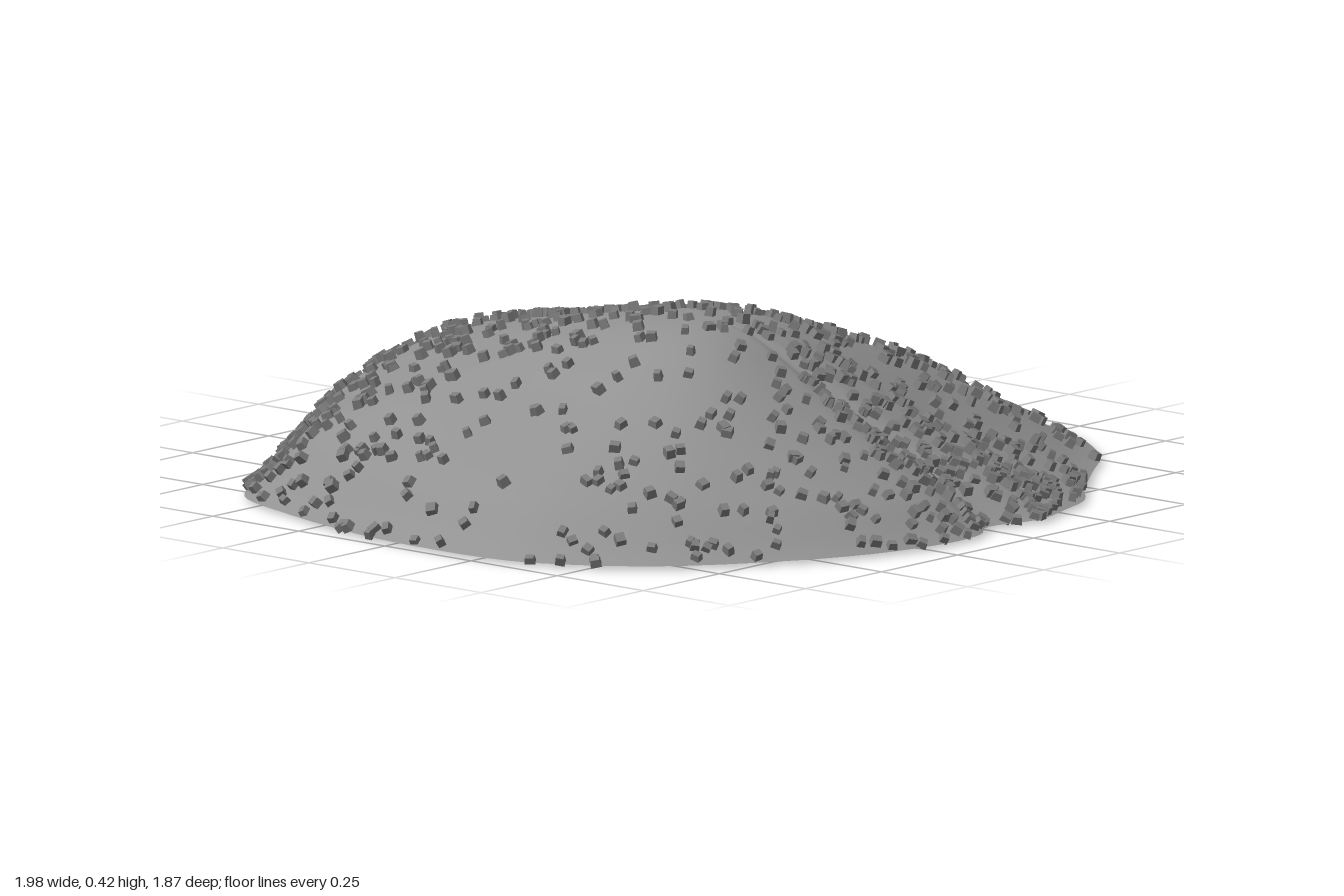
import * as THREE from 'three';
import { mergeGeometries } from 'three/addons/utils/BufferGeometryUtils.js';

const BASE = 0.015, HEIGHT = 0.395;
const PEAK = new THREE.Vector2(-0.15, 0.17);

// Ground outline (x, z), counter-clockwise from above
const RIM = new THREE.CatmullRomCurve3([
  [0, 0.87], [0.13, 0.9], [0.25, 0.87], [0.36, 0.83], [0.45, 0.75], [0.6, 0.64], [0.75, 0.53],
  [0.88, 0.35], [0.96, 0.12], [0.985, -0.05], [0.95, -0.2], [0.88, -0.4], [0.8, -0.56],
  [0.7, -0.7], [0.6, -0.77], [0.45, -0.8], [0.34, -0.83], [0.2, -0.9], [0, -0.94],
  [-0.2, -0.9], [-0.4, -0.83], [-0.6, -0.71], [-0.75, -0.62], [-0.84, -0.54], [-0.9, -0.38],
  [-0.95, -0.2], [-0.985, 0], [-0.985, 0.28], [-0.93, 0.45], [-0.8, 0.63], [-0.6, 0.78],
  [-0.4, 0.88], [-0.2, 0.925], [-0.08, 0.915],
].map(([x, z]) => new THREE.Vector3(x, 0, z)), true, 'catmullrom', 0.5);

// Slope profiles from peak to rim, one per 45 degrees starting at +x and turning to +z
const STEPS = [0, 0.15, 0.3, 0.5, 0.7, 0.85, 1];
const SLOPES = [
  [1, 0.95, 0.82, 0.63, 0.42, 0.22, 0],
  [1, 0.94, 0.79, 0.54, 0.28, 0.12, 0],
  [1, 0.95, 0.80, 0.57, 0.36, 0.20, 0],
  [1, 0.97, 0.87, 0.66, 0.43, 0.23, 0],
  [1, 0.97, 0.86, 0.65, 0.46, 0.30, 0],
  [1, 0.97, 0.88, 0.72, 0.54, 0.35, 0],
  [1, 0.97, 0.90, 0.79, 0.66, 0.42, 0],
  [1, 0.96, 0.84, 0.69, 0.56, 0.38, 0],
].map((row) => new THREE.SplineCurve(row.map((h, i) => new THREE.Vector2(STEPS[i], h))));

// Height of profile k at distance t, with t spread over the uneven steps
function slopeHeight(k, t) {
  let i = 0;
  while (i < STEPS.length - 2 && t > STEPS[i + 1]) i++;
  const f = (t - STEPS[i]) / (STEPS[i + 1] - STEPS[i]);
  return SLOPES[(k + 8) % 8].getPoint((i + f) / (STEPS.length - 1)).y;
}

// Point on the mound: u runs round the rim, t from the peak outwards
function surfacePoint(u, t) {
  const rim = RIM.getPoint(((u % 1) + 1) % 1);
  const angle = Math.atan2(rim.z - PEAK.y, rim.x - PEAK.x);
  const a = (angle / (Math.PI / 4) + 8) % 8;
  const k = Math.floor(a), f = a - k;
  // Smooth cubic blend between neighbouring profiles
  const [h0, h1, h2, h3] = [-1, 0, 1, 2].map((d) => slopeHeight(k + d, t));
  const h = h1 + 0.5 * f * (h2 - h0 + f * (2 * h0 - 5 * h1 + 4 * h2 - h3
    + f * (3 * (h1 - h2) + h3 - h0)));
  return new THREE.Vector3(
    THREE.MathUtils.lerp(PEAK.x, rim.x, t),
    BASE + HEIGHT * h,
    THREE.MathUtils.lerp(PEAK.y, rim.z, t));
}

// Open shell built from rings around the peak
function moundGeometry(segments, rings) {
  const pos = [...surfacePoint(0, 0).toArray()], index = [];
  for (let r = 1; r <= rings; r++) {
    for (let s = 0; s < segments; s++) pos.push(...surfacePoint(s / segments, r / rings).toArray());
  }
  const id = (r, s) => (r === 0 ? 0 : 1 + (r - 1) * segments + (s % segments));
  for (let r = 0; r < rings; r++) {
    for (let s = 0; s < segments; s++) {
      index.push(id(r, s), id(r + 1, s), id(r + 1, s + 1));
      if (r > 0) index.push(id(r, s), id(r + 1, s + 1), id(r, s + 1));
    }
  }
  const geo = new THREE.BufferGeometry();
  geo.setAttribute('position', new THREE.Float32BufferAttribute(pos, 3));
  geo.setIndex(index);
  geo.computeVertexNormals();
  return geo;
}

function seededRandom(seed) {
  return () => {
    seed = (seed * 1664525 + 1013904223) % 4294967296;
    return seed / 4294967296;
  };
}

// Small chunky stones resting on the slope, denser at the back and down the front middle
function pebbleGeometry(count) {
  const rand = seededRandom(7), stones = [];
  const size = () => 0.016 + rand() * 0.009;
  const up = new THREE.Vector3(0, 1, 0), turn = new THREE.Quaternion();
  while (stones.length < count) {
    const u = rand(), t = Math.sqrt(rand());
    const p = surfacePoint(u, t);
    const density = 0.3 + 0.6 * Math.max(0, -p.z) + 0.3 * Math.exp(-(((p.x - 0.15) / 0.3) ** 2));
    if (rand() > density) continue;
    // Surface normal from two neighbouring points
    const along = surfacePoint(u + 0.002, t).sub(p);
    const inward = surfacePoint(u, t * 0.98).sub(p);
    const normal = along.cross(inward).normalize();

    const height = size() * 0.9;
    const stone = new THREE.BoxGeometry(size(), height, size());
    // Pinch the top so that the stones are not perfect boxes
    const v = stone.attributes.position, pinch = 0.75 + rand() * 0.2;
    for (let i = 0; i < v.count; i++) {
      if (v.getY(i) > 0) v.setXYZ(i, v.getX(i) * pinch, v.getY(i), v.getZ(i) * pinch);
    }
    stone.rotateY(rand() * Math.PI * 2);
    stone.rotateX((rand() - 0.5) * 0.4);
    stone.applyQuaternion(turn.setFromUnitVectors(up, normal));
    p.addScaledVector(normal, height * 0.45);
    stone.translate(p.x, Math.max(p.y, 0.016), p.z);
    stones.push(stone);
  }
  const merged = mergeGeometries(stones).toNonIndexed();
  merged.computeVertexNormals();
  return merged;
}

export function createModel() {
  const group = new THREE.Group();
  group.name = 'stonyMound';

  const mound = new THREE.Mesh(moundGeometry(136, 28),
    new THREE.MeshStandardMaterial({ color: 0x929292, side: THREE.DoubleSide }));
  mound.name = 'mound';

  const pebbles = new THREE.Mesh(pebbleGeometry(1200),
    new THREE.MeshStandardMaterial({ color: 0x7c7c7c, flatShading: true }));
  pebbles.name = 'pebbles';

  group.add(mound, pebbles);
  return group;
}
